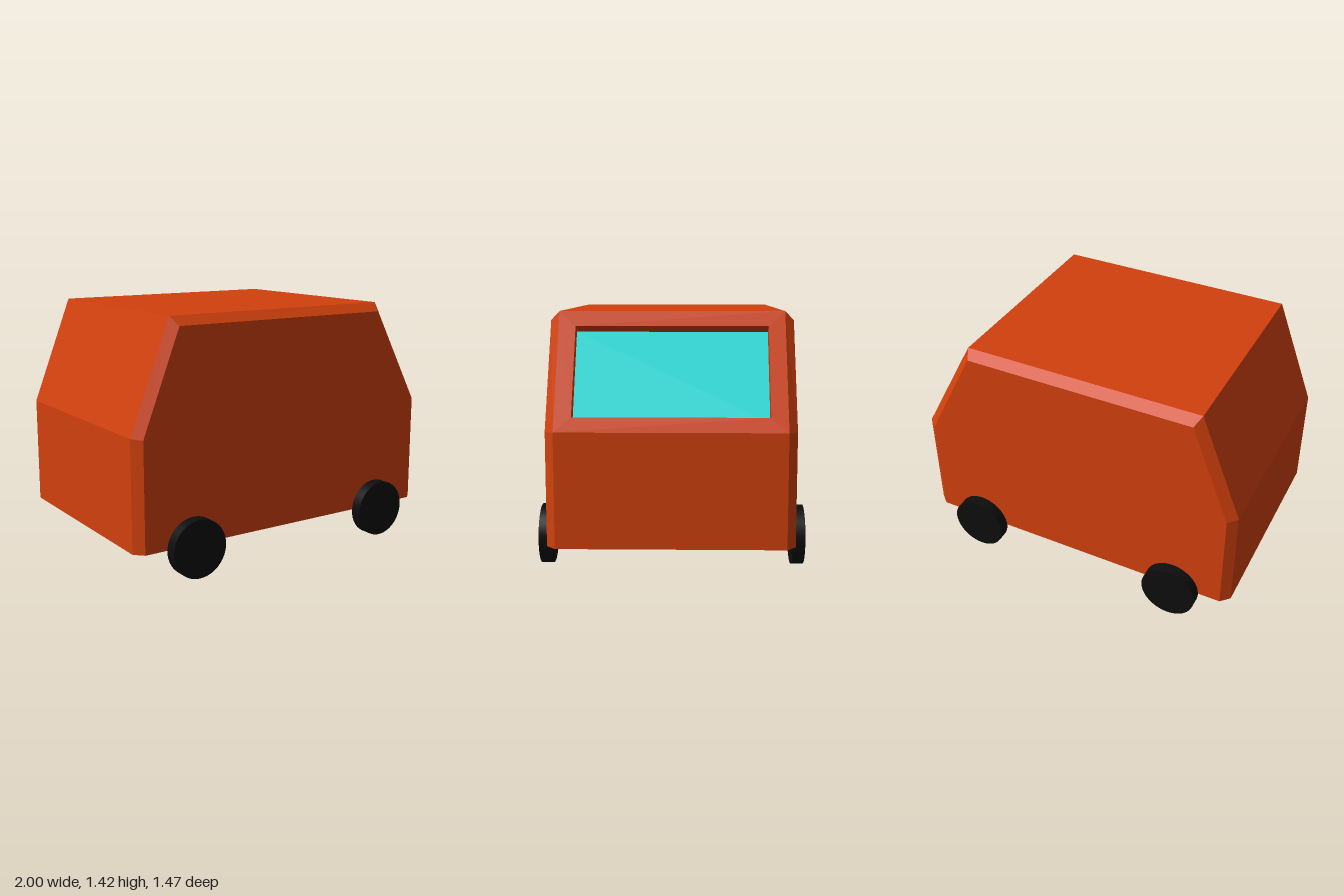
import * as THREE from 'three';

const bodyMat = new THREE.MeshStandardMaterial({ color: 0xd1400d });
const glassMat = new THREE.MeshStandardMaterial({ color: 0x11e0dc });
const tyreMat = new THREE.MeshStandardMaterial({ color: 0x0d0d0d });

// Mesh from flat convex polygons, corners counter-clockwise seen from outside
function polygonMesh(name, polygons, material) {
  const pos = [];
  for (const p of polygons) {
    for (let i = 1; i < p.length - 1; i++) pos.push(...p[0], ...p[i], ...p[i + 1]);
  }
  const geo = new THREE.BufferGeometry();
  geo.setAttribute('position', new THREE.Float32BufferAttribute(pos, 3));
  geo.computeVertexNormals();
  const mesh = new THREE.Mesh(geo, material);
  mesh.name = name;
  return mesh;
}

// Quads joining two loops of corners
const bridge = (a, b) => a.map((p, i) => {
  const j = (i + 1) % a.length;
  return [p, a[j], b[j], b[i]];
});

export function createModel() {
  const group = new THREE.Group();
  group.name = 'van';

  // Side profiles: full outline, and the smaller one of the chamfered side panels
  const outer = [[-1, 0.173], [1, 0.173], [1, 0.8], [0.66, 1.42], [-0.76, 1.42], [-1, 0.8]];
  const inner = [[-0.95, 0.173], [0.945, 0.173], [0.945, 0.795], [0.637, 1.37], [-0.727, 1.37], [-0.95, 0.795]];
  const section = (profile, z) => profile.map(([x, y]) => [x, y, z]);
  const loops = [section(inner, -0.667), section(outer, -0.617), section(outer, 0.617), section(inner, 0.667)];

  // Body shell, with the windscreen slope taken out of the middle band
  const middle = bridge(loops[1], loops[2]);
  const [slope] = middle.splice(2, 1);
  const faces = [
    ...bridge(loops[0], loops[1]), ...middle, ...bridge(loops[2], loops[3]),
    loops[3], [...loops[0]].reverse(),
  ];

  // Windscreen opening, sunk square to the slope
  const slopeX = (y) => 1 - 0.34 * (y - 0.8) / 0.62;
  const opening = [[0.875, -0.525], [1.34, -0.525], [1.34, 0.525], [0.875, 0.525]]
    .map(([y, z]) => [slopeX(y), y, z]);
  const pane = opening.map(([x, y, z]) => [x - 0.061, y - 0.034, z]);
  faces.push(...bridge(slope, opening), ...bridge(opening, pane));

  group.add(polygonMesh('body', faces, bodyMat));
  group.add(polygonMesh('windscreen', [pane], glassMat));

  // Wheels
  const wheelGeo = new THREE.CylinderGeometry(0.166, 0.166, 0.068, 48).rotateX(Math.PI / 2);
  for (const [end, x] of [['front', 0.65], ['rear', -0.65]]) {
    for (const [side, z] of [['Near', 0.7], ['Far', -0.7]]) {
      const wheel = new THREE.Mesh(wheelGeo, tyreMat);
      wheel.name = `${end}Wheel${side}`;
      wheel.position.set(x, 0.168, z);
      group.add(wheel);
    }
  }
  return group;
}
